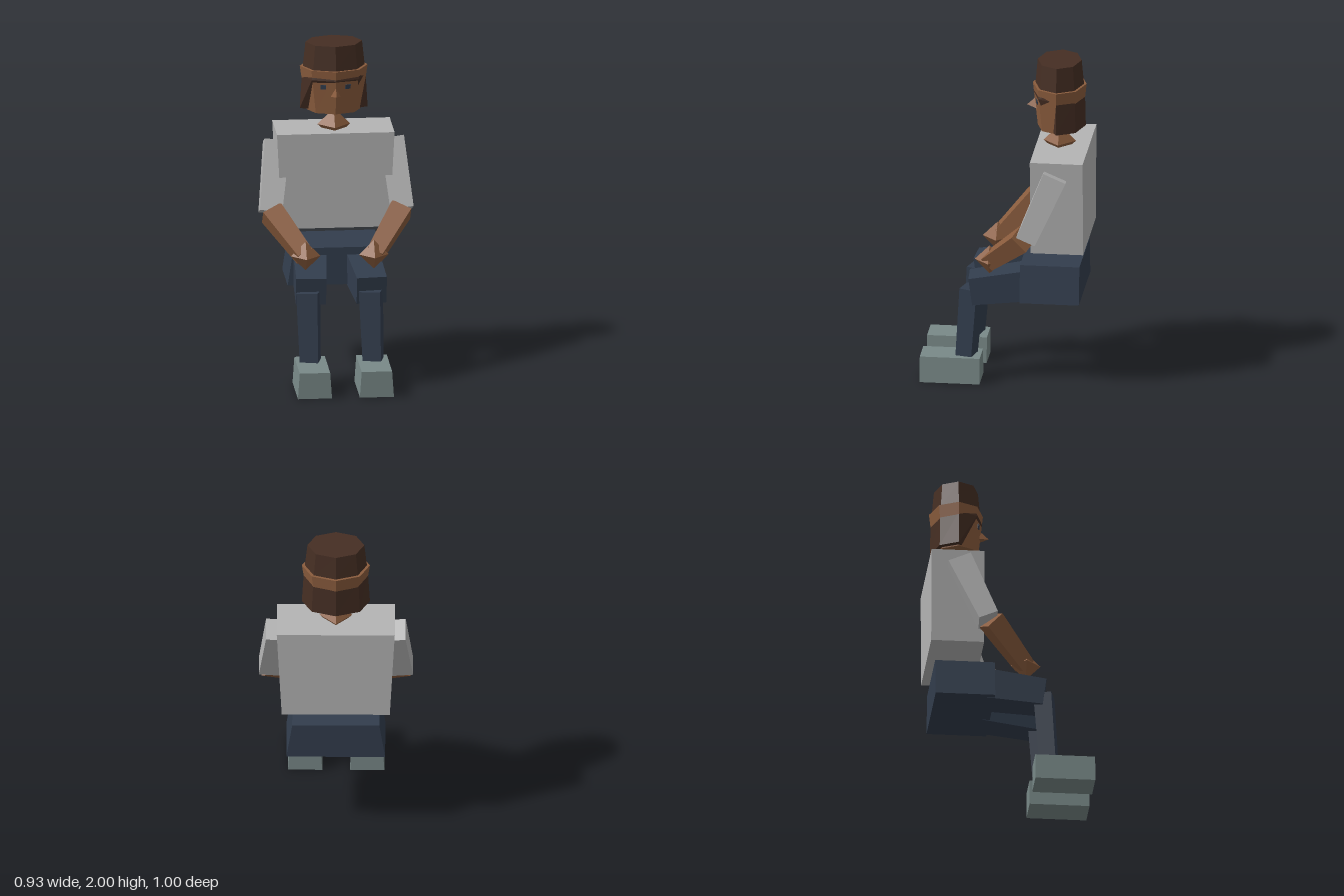
import * as THREE from 'three';
import { ConvexGeometry } from 'three/addons/geometries/ConvexGeometry.js';

const V = (x, y, z) => new THREE.Vector3(x, y, z);

function material(name, color) {
  const m = new THREE.MeshStandardMaterial({ color, flatShading: true });
  m.name = name;
  return m;
}

// Faceted solid through equal-sized rings of points, closed at both ends
function loft(rings) {
  const out = [];
  const tri = (...pts) => pts.forEach((p) => out.push(p.x, p.y, p.z));
  const n = rings[0].length;
  for (let r = 0; r + 1 < rings.length; r++) {
    for (let i = 0; i < n; i++) {
      const j = (i + 1) % n, a = rings[r], b = rings[r + 1];
      tri(a[i], a[j], b[j]);
      tri(a[i], b[j], b[i]);
    }
  }
  const first = rings[0], last = rings[rings.length - 1];
  for (let i = 1; i + 1 < n; i++) {
    tri(first[0], first[i + 1], first[i]);
    tri(last[0], last[i], last[i + 1]);
  }
  const g = new THREE.BufferGeometry();
  g.setAttribute('position', new THREE.Float32BufferAttribute(out, 3));
  g.computeVertexNormals();
  return g;
}

// Box from a to b with its own [width, depth] at each end
function taperedBox(a, b, sizeA, sizeB, side = V(1, 0, 0)) {
  const dir = b.clone().sub(a).normalize();
  const u = side.clone().addScaledVector(dir, -side.dot(dir)).normalize();
  const v = dir.clone().cross(u);
  const corners = [[1, 1], [-1, 1], [-1, -1], [1, -1]];
  const ring = (c, [w, d]) => corners.map(([i, j]) =>
    c.clone().addScaledVector(u, i * w / 2).addScaledVector(v, j * d / 2));
  return loft([ring(a, sizeA), ring(b, sizeB)]);
}

// Eight-sided oval ring around the head axis, starting at the front
const HEAD_Z = -0.318;
function oval(y, rx, rz) {
  return Array.from({ length: 8 }, (_, i) => {
    const t = i * Math.PI / 4;
    return V(Math.sin(t) * rx, y, HEAD_Z + Math.cos(t) * rz);
  });
}

export function createModel() {
  const model = new THREE.Group();
  model.name = 'seatedFigure';
  const skin = material('skin', 0x8a5c3d);
  const hairBrown = material('hair brown', 0x452e23);
  const shirt = material('shirt grey', 0xb4b4b4);
  const navy = material('trouser navy', 0x323d4d);
  const shoeGrey = material('shoe grey', 0x798988);

  const add = (name, geometry, mat) => {
    const mesh = new THREE.Mesh(geometry, mat);
    mesh.name = name;
    model.add(mesh);
    return mesh;
  };

  // Body
  add('torso', taperedBox(V(0, 0.87, -0.338), V(0, 1.46, -0.338), [0.65, 0.32], [0.71, 0.32]), shirt);
  add('pelvis', taperedBox(V(0, 0.535, -0.288), V(0, 0.767, -0.288), [0.594, 0.36], [0.524, 0.36]), navy);
  add('neck', new THREE.OctahedronGeometry(0.098).translate(0, 1.482, HEAD_Z), skin);

  // Head, widest at the brow
  add('head', loft([oval(1.578, 0.165, 0.133), oval(1.85, 0.205, 0.163)]), skin);

  // Hair: fringe just under the brow, swept back from the face below it
  const fringe = oval(1.79, 0.193, 0.153);
  const hem = oval(1.585, 0.205, 0.158);
  for (const i of [7, 0, 1]) {
    fringe[i].z += 0.006;
    fringe[i].x *= 1.05;
    hem[i].z = -0.285;
    hem[i].x *= 0.85;
  }
  add('hair', loft([hem, fringe, oval(1.85, 0.187, 0.147), oval(2.0, 0.171, 0.133)]), hairBrown);

  // Nose
  add('nose', new ConvexGeometry([
    V(0, 1.75, -0.17), V(-0.03, 1.69, -0.18), V(0.03, 1.69, -0.18), V(0, 1.703, -0.12),
  ]), skin);

  for (const s of [-1, 1]) {
    const side = s > 0 ? 'left' : 'right';

    // Eyes lie on the sloping front faces of the head
    const eye = add(side + 'Eye', new THREE.BoxGeometry(0.034, 0.028, 0.008), navy);
    eye.position.set(s * 0.074, 1.75, HEAD_Z + 0.128);
    eye.rotation.set(0.11, s * 0.324, 0, 'YXZ');

    // Arms
    add(side + 'UpperArm', taperedBox(V(s * 0.343, 1.378, -0.331), V(s * 0.397, 0.983, -0.161),
      [0.155, 0.147], [0.135, 0.122]), shirt);
    add(side + 'Forearm', taperedBox(V(s * 0.392, 0.985, -0.145), V(s * 0.212, 0.772, 0.078),
      [0.128, 0.125], [0.1, 0.095]), skin);
    add(side + 'Hand', new THREE.OctahedronGeometry(0.09).translate(s * 0.206, 0.775, 0.083), skin);

    // Legs
    add(side + 'Thigh', taperedBox(V(s * 0.152, 0.644, -0.25), V(s * 0.183, 0.583, 0.198),
      [0.205, 0.2], [0.182, 0.168]), navy);
    const shinX = s > 0 ? 0.178 : -0.2;
    add(side + 'Shin', taperedBox(V(s * 0.19, 0.1, 0.228), V(shinX, 0.582, 0.194),
      [0.11, 0.1], [0.13, 0.11], V(0.968, 0, 0.25)), navy);
    add(side + 'Shoe', taperedBox(V(s * 0.187, 0, 0.316), V(s * 0.187, 0.16, 0.316),
      [0.206, 0.362], [0.184, 0.362]), shoeGrey);
  }
  return model;
}
